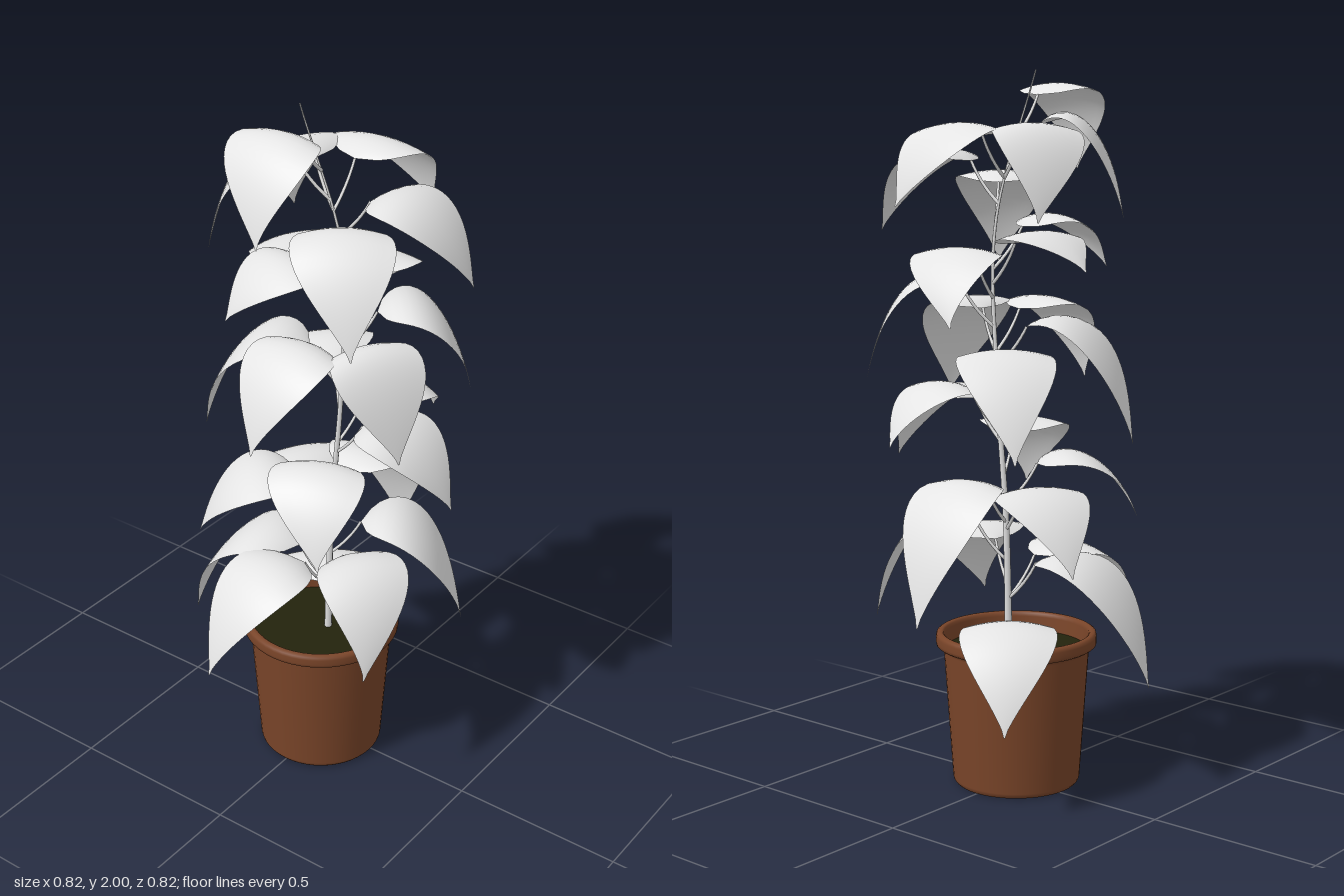
import * as THREE from 'three';

const material = (name, color, side = THREE.FrontSide) => {
  const m = new THREE.MeshStandardMaterial({ color, side });
  m.name = name;
  return m;
};
const V = (x, y, z) => new THREE.Vector3(x, y, z);

// each leaf: compass angle it leaves the stem at (0 = front, 90 = left),
// height of its arch, then its tip x, y, z
const LEAVES = [
  [-2, 1.97, 0.06, 1.73, 0.36], [179, 1.86, 0.12, 1.64, -0.34], [98, 1.79, 0.41, 1.56, -0.09],
  [-112, 1.86, -0.235, 1.6, -0.18], [-60, 1.89, -0.235, 1.6, 0.19],
  [35, 1.73, 0.29, 1.46, 0.28], [-24, 1.61, -0.11, 1.46, 0.28],
  [-97, 1.57, -0.3, 1.47, -0.06], [190, 1.53, -0.08, 1.33, -0.35], [131, 1.45, 0.31, 1.16, -0.26],
  [-7, 1.38, 0.02, 1.13, 0.35], [64, 1.38, 0.32, 1.09, 0.1], [-70, 1.34, -0.34, 1.0, 0.1],
  [-134, 1.26, -0.25, 0.98, -0.29], [162, 1.16, 0.12, 1.0, -0.37], [90, 1.13, 0.4, 0.91, -0.04],
  [22, 1.03, 0.2, 0.81, 0.3], [-42, 0.95, -0.24, 0.76, 0.26], [-114, 0.88, -0.34, 0.67, -0.16],
  [184, 0.9, -0.01, 0.53, -0.41], [119, 0.79, 0.36, 0.46, -0.18], [63, 0.72, 0.32, 0.47, 0.25],
  [-16, 0.68, -0.1, 0.4, 0.41], [-78, 0.68, -0.41, 0.33, 0.09], [-140, 0.51, -0.23, 0.25, -0.31],
];

// tube whose radius shrinks from r0 to r1
function taperedTube(curve, r0, r1, segments, sides = 8) {
  const geo = new THREE.TubeGeometry(curve, segments, r0, sides);
  const pos = geo.attributes.position;
  const p = V(0, 0, 0);
  for (let i = 0; i < pos.count; i++) {
    const t = Math.floor(i / (sides + 1)) / segments;
    const c = curve.getPointAt(t);
    p.fromBufferAttribute(pos, i).sub(c).multiplyScalar(1 + (r1 / r0 - 1) * t).add(c);
    pos.setXYZ(i, p.x, p.y, p.z);
  }
  return geo;
}

// blade with a round base and a long point, bent along an arching midrib
function bladeGeometry(midrib, side, halfWidth) {
  const geo = new THREE.PlaneGeometry(1, 1, 8, 20);
  const pos = geo.attributes.position;
  for (let i = 0; i < pos.count; i++) {
    const u = pos.getX(i) * 2;
    const t = THREE.MathUtils.clamp(0.5 - pos.getY(i), 0, 1);
    const wave = Math.max(0, Math.sin(Math.PI * Math.pow(t, 0.59)));
    const w = Math.max(0.002, halfWidth * Math.pow(wave, 1.15));
    const p = midrib.getPointAt(t).addScaledVector(side, u * w);
    p.y -= 0.02 * u * u * (w / halfWidth);
    pos.setXYZ(i, p.x, p.y, p.z);
  }
  geo.computeVertexNormals();
  return geo;
}

export function createModel() {
  const model = new THREE.Group();
  model.name = 'pottedPlant';
  const clay = material('clay', 0x7a4529);
  const earth = material('soil', 0x23230c);
  const foliage = material('pale leaf', 0xe4e4e4, THREE.DoubleSide);
  const bark = material('pale stem', 0xe0e0e0);
  const add = (parent, name, geo, mat) => {
    const mesh = new THREE.Mesh(geo, mat);
    mesh.name = name;
    parent.add(mesh);
    return mesh;
  };

  // pot with a thick rolled rim and a hollow top
  const profile = [[0, 0], [0.17, 0], [0.174, 0.001], [0.179, 0.007], [0.181, 0.015],
    [0.206, 0.385], [0.207, 0.396], [0.22, 0.397], [0.227, 0.402], [0.228, 0.41], [0.228, 0.426],
    [0.226, 0.434], [0.22, 0.438], [0.211, 0.438], [0.206, 0.434], [0.204, 0.425], [0.2, 0.36]];
  const potGeo = new THREE.LatheGeometry(profile.map(([r, y]) => new THREE.Vector2(r, y)), 48);
  add(model, 'pot', potGeo, clay).position.z = 0.015;
  const soil = add(model, 'soil', new THREE.CircleGeometry(0.202, 48), earth);
  soil.rotation.x = -Math.PI / 2;
  soil.position.set(0, 0.385, 0.015);

  // gently swaying main stem, control points evenly spaced in height
  const stem = new THREE.CatmullRomCurve3([
    V(0.015, 0.36, 0), V(0.022, 0.77, -0.005), V(0.05, 1.18, -0.012),
    V(0.055, 1.59, -0.008), V(-0.035, 2, 0.055),
  ], false, 'catmullrom');
  add(model, 'stem', taperedTube(stem, 0.011, 0.002, 48), bark);

  // leaves, each on its own rising stalk
  LEAVES.forEach(([angle, top, x, y, z]) => {
    const leaf = new THREE.Group();
    leaf.name = 'leaf';
    model.add(leaf);
    const root = stem.getPoint((Math.max(top - 0.15, 0.4) - 0.36) / 1.64);
    const tip = V(x, y, z);
    const a = THREE.MathUtils.degToRad(angle);
    const dir = V(Math.sin(a), 0, Math.cos(a));
    const at = (r, h) => V(root.x, h, root.z).addScaledVector(dir, r);
    const start = 0.09;
    const span = Math.hypot(x - root.x, z - root.z) - start;
    const base = at(start, top - 0.035);

    const stalk = new THREE.QuadraticBezierCurve3(root, at(start * 0.65, top - 0.1), base);
    add(leaf, 'leafStalk', taperedTube(stalk, 0.005, 0.004, 8, 6), bark);

    const midrib = new THREE.CubicBezierCurve3(
      base, at(start + span * 0.35, top + 0.05), at(start + span * 0.8, top - 0.025), tip);
    const side = V(dir.z, 0, -dir.x);
    add(leaf, 'leafBlade', bladeGeometry(midrib, side, 0.134), foliage);
  });
  return model;
}
